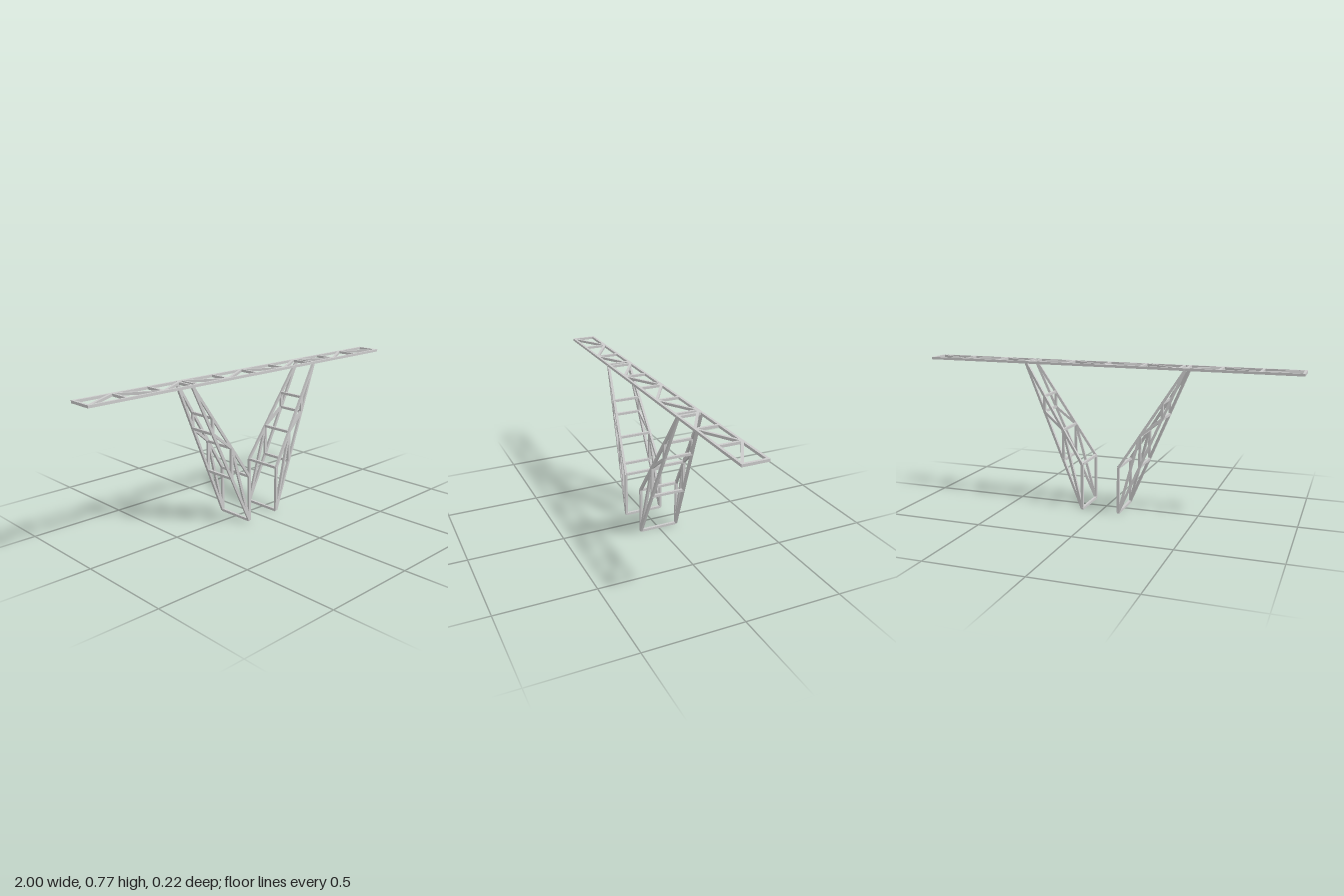
import * as THREE from 'three';

const S = 0.013; // beam thickness
const material = new THREE.MeshStandardMaterial({ color: 0xcccccc, flatShading: true });

// Square beam between two points
function beam(parent, name, a, b, extra = 0) {
  const length = a.distanceTo(b) + extra;
  const mesh = new THREE.Mesh(new THREE.BoxGeometry(S, S, length), material);
  mesh.name = name;
  mesh.position.copy(a).add(b).multiplyScalar(0.5);
  mesh.lookAt(b);
  parent.add(mesh);
}

// Flat horizontal truss
function createDeck() {
  const deck = new THREE.Group();
  deck.name = 'deckTruss';
  const y = 0.763, half = 0.06, end = 0.9935, bays = 10;
  const node = (i, side) => new THREE.Vector3(-end + (2 * end * i) / bays, y, side * half);
  for (const side of [-1, 1]) beam(deck, 'deckChord', node(0, side), node(bays, side), S);
  for (let i = 0; i <= bays; i++) {
    beam(deck, 'deckRung', node(i, -1), node(i, 1));
    const side = i % 2 ? -1 : 1;
    if (i < bays) beam(deck, 'deckDiagonal', node(i, side), node(i + 1, -side));
  }
  return deck;
}

// Tapering leg, dir = +1 or -1 along x
function createLeg(dir, name) {
  const leg = new THREE.Group();
  leg.name = name;
  const foot = [0.1, 0.0065, 0.102], knee = [0.1, 0.248, 0.102], top = [0.43, 0.763, 0.06];
  // Node on the chord from start to top, on the given z side
  const node = (start, t, side) => {
    const [x, y, z] = start.map((v, i) => v + (top[i] - v) * t);
    return new THREE.Vector3(x * dir, y, z * side);
  };
  const outer = (t, side) => node(foot, t, side);
  const inner = (t, side) => node(knee, t, side);

  for (const side of [-1, 1]) {
    beam(leg, 'outerChord', outer(0, side), outer(1, side));
    beam(leg, 'innerChord', inner(0, side), inner(1, side));
    for (const t of [0, 1 / 3, 2 / 3]) beam(leg, 'legPost', outer(t, side), inner(t, side));
    for (const t of [0, 1 / 3]) {
      // Lower bay rises to the inner chord, the next bay to the outer chord
      if (t === 0) beam(leg, 'legDiagonal', outer(0, side), inner(1 / 3, side));
      else beam(leg, 'legDiagonal', inner(t, side), outer(2 / 3, side));
    }
  }
  // Rungs joining the two side frames
  for (const t of [0, 1 / 3, 2 / 3, 1]) {
    beam(leg, 'outerRung', outer(t, -1), outer(t, 1));
    if (t < 1) beam(leg, 'innerRung', inner(t, -1), inner(t, 1));
  }
  return leg;
}

export function createModel() {
  const model = new THREE.Group();
  model.name = 'trussFrame';
  model.add(createDeck(), createLeg(1, 'leftLeg'), createLeg(-1, 'rightLeg'));
  return model;
}
